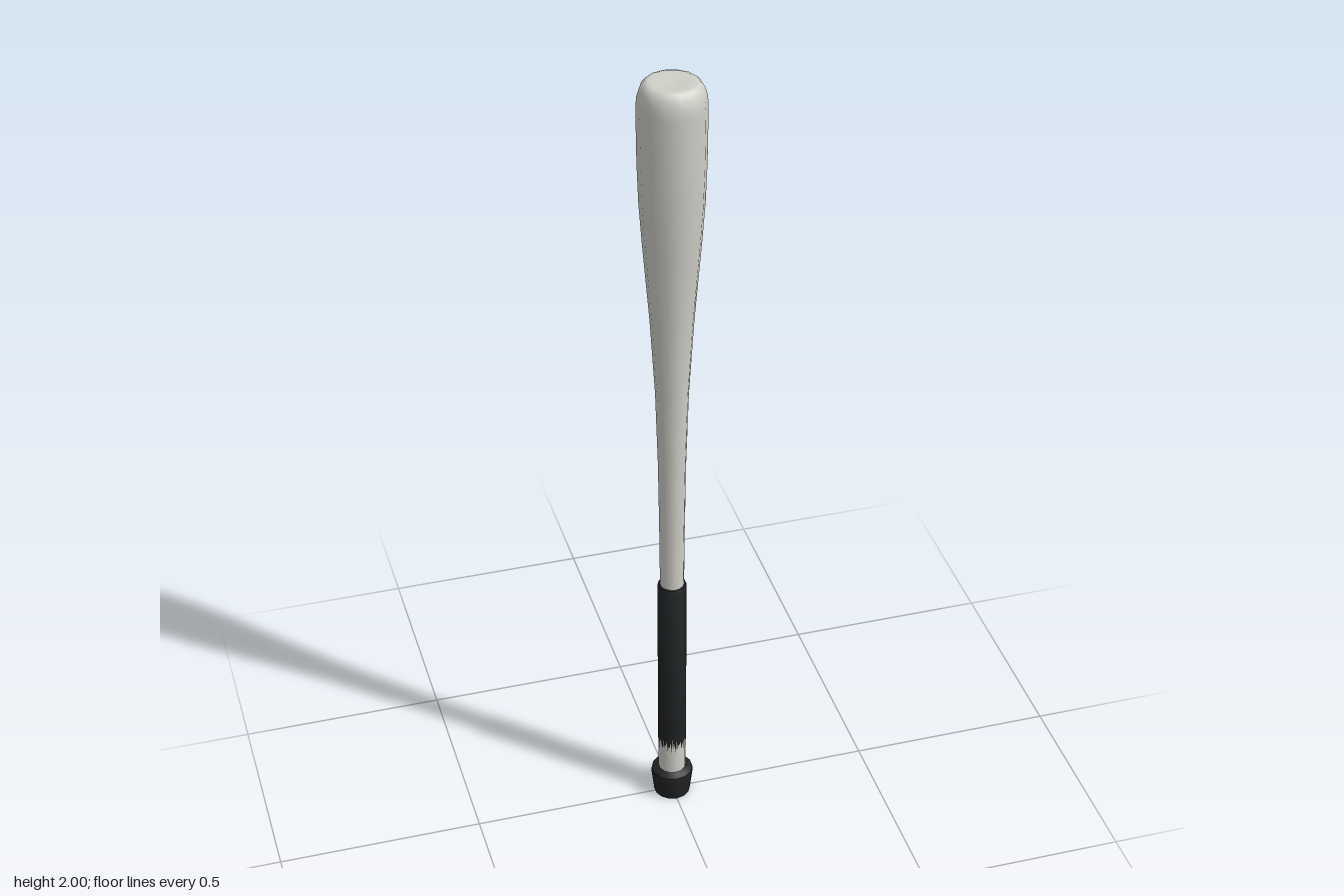
import * as THREE from 'three';
import { toCreasedNormals } from 'three/addons/utils/BufferGeometryUtils.js';

const SIDES = 14;

// Turned part from [radius, y] points, listed from bottom to top
function turned(name, profile, material, crease) {
  const points = profile.map(([r, y]) => new THREE.Vector2(r, y));
  let geometry = new THREE.LatheGeometry(points, SIDES);
  if (crease) geometry = toCreasedNormals(geometry, crease);
  const mesh = new THREE.Mesh(geometry, material);
  mesh.name = name;
  return mesh;
}

// Thin sleeve following the 14-sided handle, with an uneven lower edge
function frayedSleeve(material, radius, top, bottom) {
  const teeth = SIDES * 6;
  const geometry = new THREE.CylinderGeometry(radius, radius, 1, teeth, 1, true);
  const pos = geometry.attributes.position;
  const step = (Math.PI * 2) / SIDES;
  for (let i = 0; i < pos.count; i++) {
    const column = i % (teeth + 1);
    const angle = (column / teeth) * Math.PI * 2;
    const local = (angle % step) - step / 2;
    const r = (radius * Math.cos(step / 2)) / Math.cos(local);
    const k = column % teeth;
    const depth = (k % 2) * 0.02 + ((k * 5) % 7) * 0.004;
    const y = pos.getY(i) > 0 ? top : bottom + depth;
    pos.setXYZ(i, Math.sin(angle) * r, y, Math.cos(angle) * r);
  }
  const mesh = new THREE.Mesh(geometry, material);
  mesh.name = 'frayedGripEdge';
  return mesh;
}

export function createModel() {
  const group = new THREE.Group();
  group.name = 'bat';
  const barrelGrey = new THREE.MeshStandardMaterial({ color: 0xcfcec7 });
  barrelGrey.name = 'barrelGrey';
  const gripBlack = new THREE.MeshStandardMaterial({ color: 0x202223, side: THREE.DoubleSide });
  gripBlack.name = 'gripBlack';

  // Handle swelling into the barrel, with a rounded, slightly cupped end
  group.add(turned('barrel', [
    [0.034, 0.06], [0.0335, 0.18], [0.029, 0.35], [0.029, 0.65], [0.0305, 0.82],
    [0.033, 1.0], [0.039, 1.2], [0.051, 1.4], [0.067, 1.6], [0.074, 1.7],
    [0.0775, 1.8], [0.079, 1.94], [0.077, 1.965], [0.071, 1.985], [0.062, 1.996],
    [0.052, 2.0], [0.036, 1.997], [0, 1.995],
  ], barrelGrey));

  // Grip wrap
  group.add(turned('grip', [[0.035, 0.21], [0.035, 0.647], [0.0335, 0.65], [0.028, 0.65]],
    gripBlack, 0.6));
  group.add(frayedSleeve(gripBlack, 0.035, 0.21, 0.14));

  // Flared knob at the base
  group.add(turned('knob', [[0, 0], [0.045, 0], [0.048, 0.025], [0.052, 0.058], [0.051, 0.07], [0.033, 0.078]],
    gripBlack, 0.7));
  return group;
}
